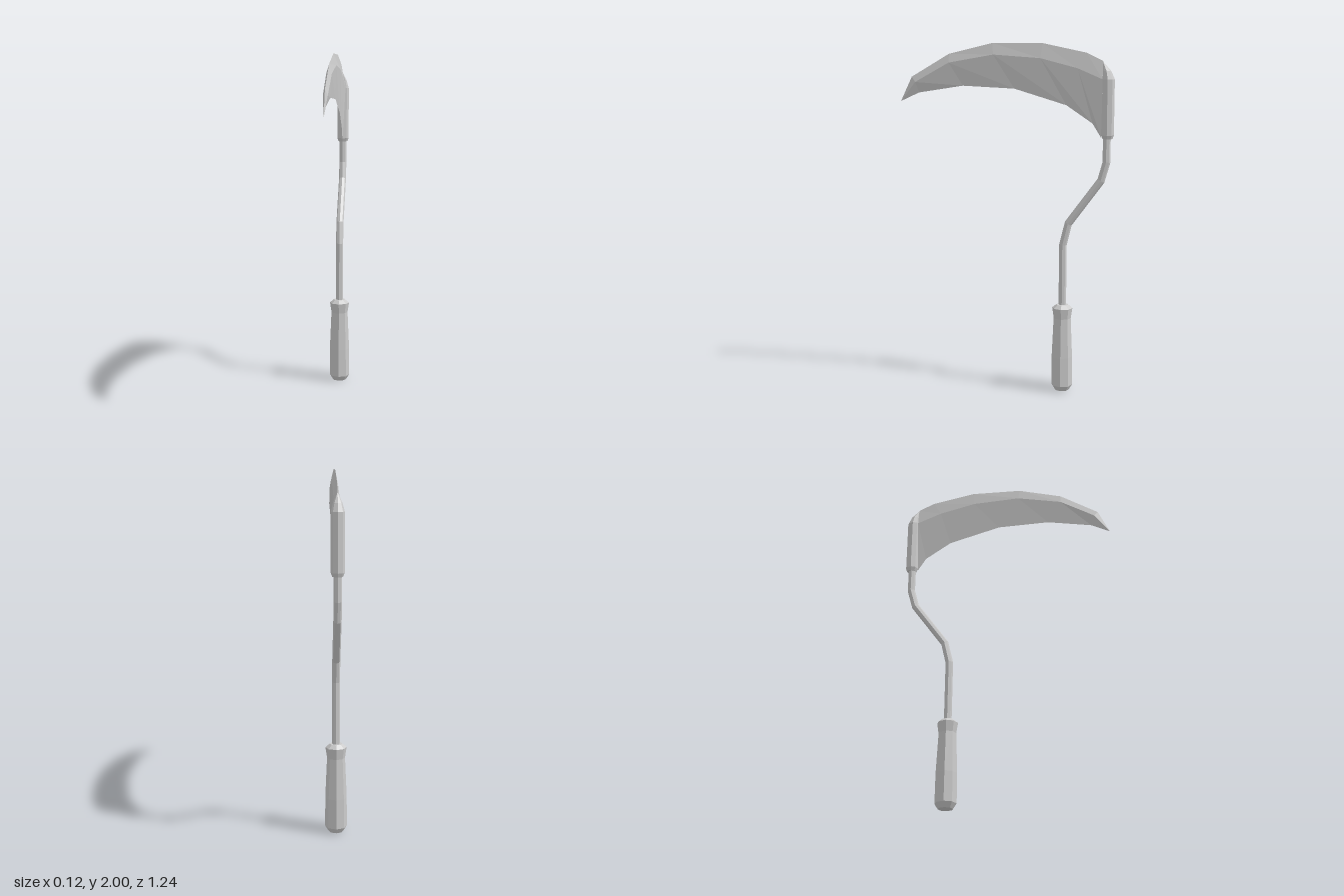
import * as THREE from 'three';

const material = new THREE.MeshStandardMaterial({ color: 0xcccccc, flatShading: true, side: THREE.DoubleSide });

// Skin a list of equal-sized rings and close both ends
function loft(name, rings) {
  const n = rings[0].length;
  const index = [];
  const last = (rings.length - 1) * n;
  for (let r = 0; r < rings.length - 1; r++) {
    for (let i = 0; i < n; i++) {
      const j = (i + 1) % n;
      const a = r * n + i, b = r * n + j, c = b + n, d = a + n;
      index.push(a, b, c, a, c, d);
    }
  }
  for (let i = 1; i < n - 1; i++) {
    index.push(0, i + 1, i, last, last + i, last + i + 1);
  }
  const indexed = new THREE.BufferGeometry();
  indexed.setAttribute('position', new THREE.Float32BufferAttribute(rings.flat(2), 3));
  indexed.setIndex(index);
  const geometry = indexed.toNonIndexed();
  geometry.computeVertexNormals();
  const mesh = new THREE.Mesh(geometry, material);
  mesh.name = name;
  return mesh;
}

// Eight-sided ring at (y, z), leaning by tilt about x
function ring(y, z, radius, tilt = 0) {
  return Array.from({ length: 8 }, (_, i) => {
    const a = (i / 8) * Math.PI * 2;
    const side = radius * Math.sin(a);
    return [radius * Math.cos(a), y + side * Math.sin(tilt), z - side * Math.cos(tilt)];
  });
}

export function createModel() {
  const group = new THREE.Group();
  group.name = 'sickle';

  // Waisted grip: [y, radius]
  const grip = [[0, 0.042], [0.03, 0.061], [0.2, 0.06], [0.43, 0.05], [0.49, 0.059], [0.51, 0.035]];
  group.add(loft('handle', grip.map(([y, r]) => ring(y, -0.335, r))));

  // Cranked shaft: [y, z], each ring mitred between its neighbours
  const path = [[0.48, -0.335], [0.86, -0.335], [0.985, -0.365], [1.235, -0.548], [1.34, -0.577], [1.52, -0.577]];
  group.add(loft('shaft', path.map(([y, z], i) => {
    const [y0, z0] = path[Math.max(i - 1, 0)];
    const [y1, z1] = path[Math.min(i + 1, path.length - 1)];
    return ring(y, z, 0.022, Math.atan2(z1 - z0, y1 - y0));
  })));

  // Socket, its top drawn forward to the blade's spine: [y, z, radius]
  const socket = [[1.47, -0.58, 0.028], [1.49, -0.58, 0.036], [1.8, -0.58, 0.036], [1.845, -0.572, 0.024], [1.895, -0.55, 0.001]];
  group.add(loft('socket', socket.map(([y, z, r]) => ring(y, z, r))));

  // Curved blade, tip to heel: [spine z, y, ridge z, y, half thickness, edge z, y]
  const blade = [
    [0.62, 1.67, 0.62, 1.67, 0, 0.62, 1.67],
    [0.553, 1.81, 0.53, 1.78, 0.013, 0.51, 1.72],
    [0.33, 1.94, 0.33, 1.89, 0.015, 0.25, 1.76],
    [0.077, 2, 0.07, 1.935, 0.016, -0.05, 1.745],
    [-0.21, 1.998, -0.2, 1.915, 0.016, -0.347, 1.655],
    [-0.458, 1.945, -0.41, 1.86, 0.016, -0.495, 1.555],
    [-0.55, 1.9, -0.55, 1.8, 0.018, -0.545, 1.475],
  ];
  group.add(loft('blade', blade.map(([sz, sy, rz, ry, t, ez, ey]) => [
    [0, sy, sz], [t, ry, rz], [0, ey, ez], [-t, ry, rz],
  ])));

  return group;
}
